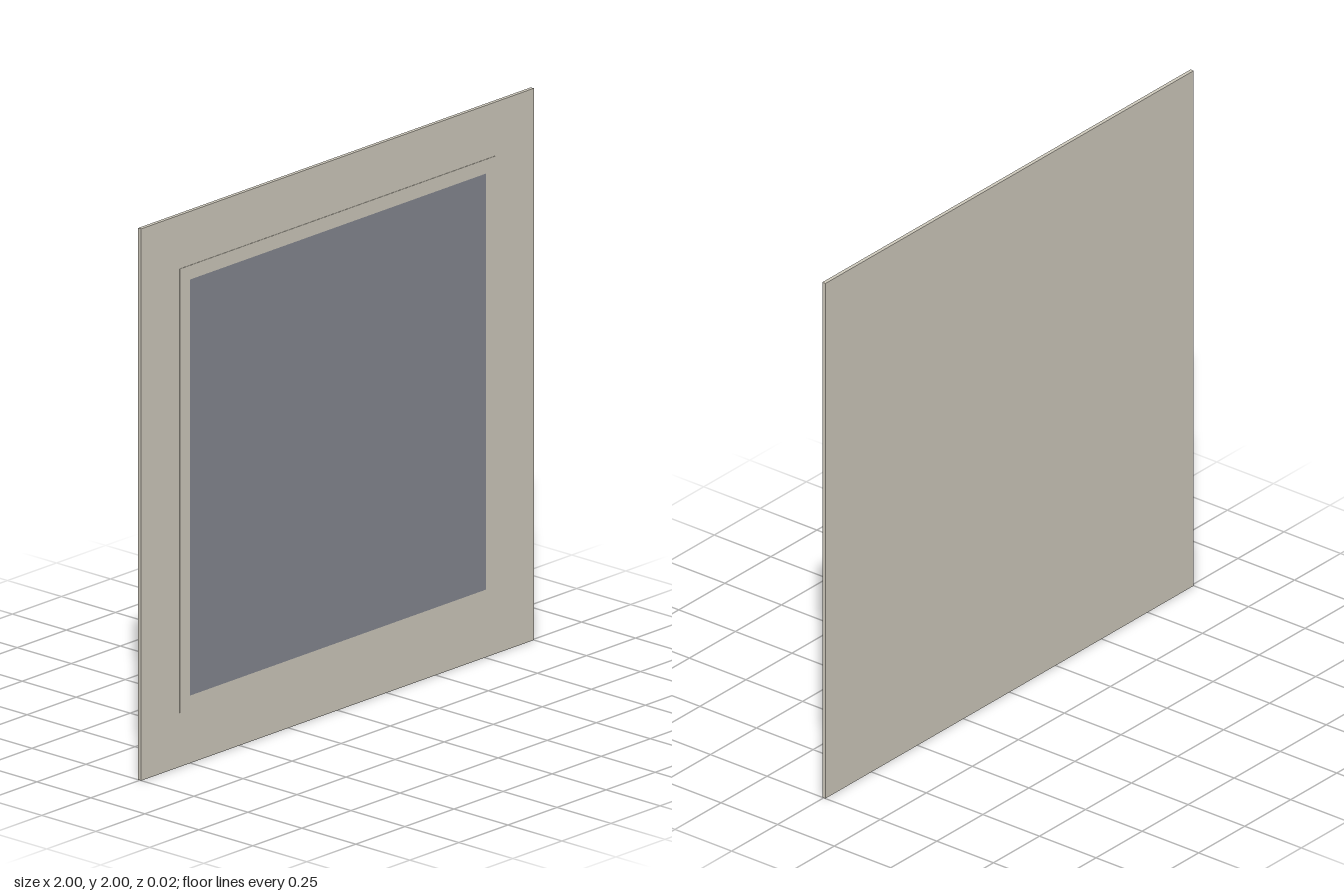
import * as THREE from 'three';

const stone = new THREE.MeshStandardMaterial({ color: 0xd0cbbe });
stone.name = 'warm grey';
const slate = new THREE.MeshStandardMaterial({ color: 0x868891 });
slate.name = 'slate grey';

// Square plate centred at y = 1, spanning back to front in z
function plate(name, size, back, front, material) {
  const mesh = new THREE.Mesh(new THREE.BoxGeometry(size, size, front - back), material);
  mesh.name = name;
  mesh.position.set(0, 1, (back + front) / 2);
  return mesh;
}

export function createModel() {
  const model = new THREE.Group();
  model.name = 'wallPanel';

  // Thin backing board
  model.add(plate('backingBoard', 2, -0.008, 0.006, stone));

  // Slightly raised border around the dark field
  model.add(plate('raisedBorder', 1.61, 0.006, 0.0075, stone));

  // Dark field, a flat face on the raised border
  const field = new THREE.Mesh(new THREE.PlaneGeometry(1.508, 1.508), slate);
  field.name = 'darkField';
  field.position.set(0, 1, 0.0082);
  model.add(field);

  return model;
}
